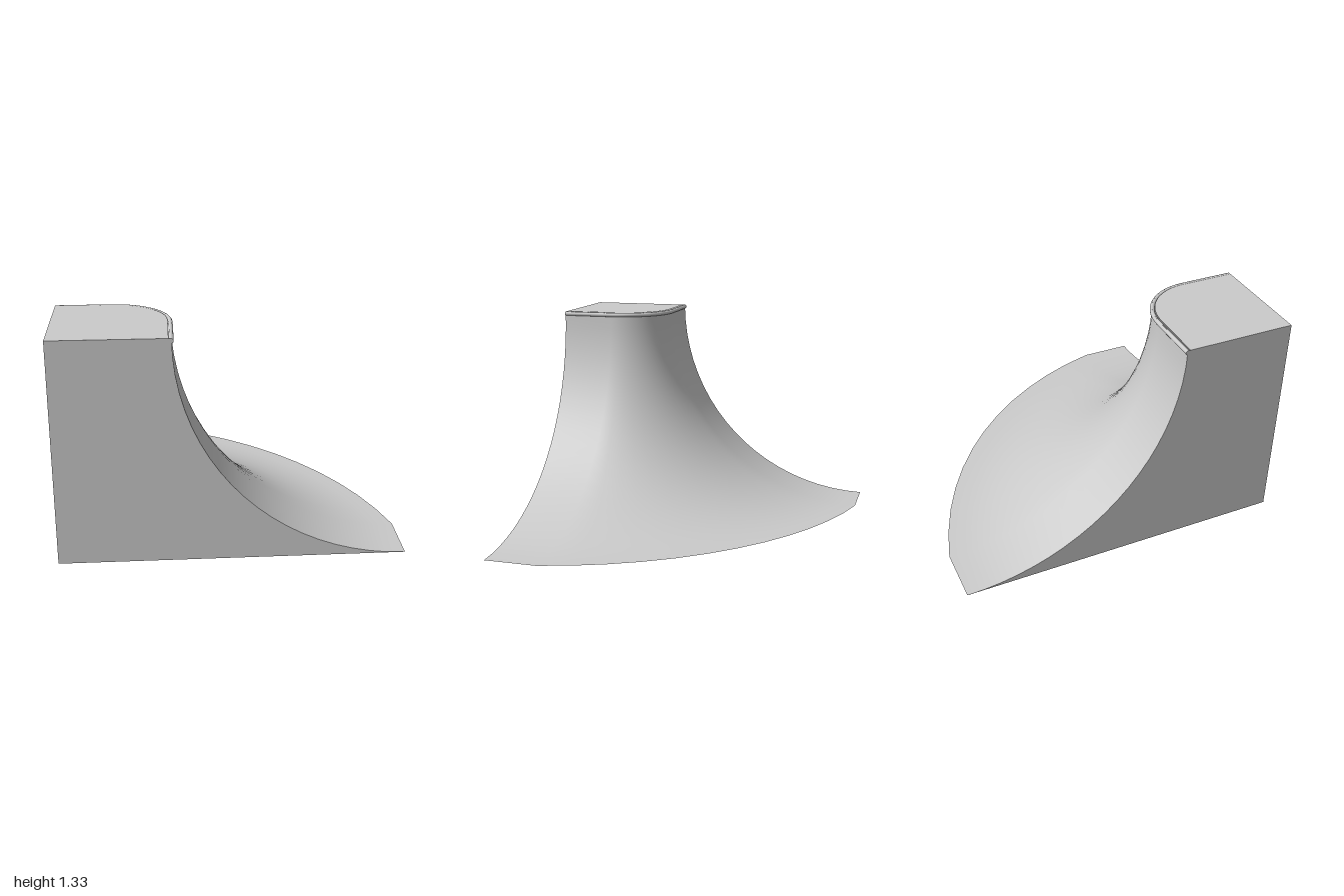
import * as THREE from 'three';

const H = 1.333;      // deck height
const EDGE = -0.333;  // where the ramp meets the deck
const FILLET = 0.333; // deck corner radius
const PIPE = 0.014;   // coping radius
const ARC_STEPS = 12, RAMP_STEPS = 20;

// Plan points [x, z] along the rounded deck edge, moved inward by inset.
function deckEdge(inset) {
  const c = EDGE - FILLET, r = FILLET - inset, pts = [[-1, -c - r]];
  for (let i = 0; i <= ARC_STEPS; i++) {
    const a = (i / ARC_STEPS) * Math.PI / 2;
    pts.push([c + r * Math.sin(a), -c - r * Math.cos(a)]);
  }
  pts.push([c + r, 1]);
  return pts;
}

// Plan points [x, z] along the shallow outer arc at ground level.
function groundEdge() {
  const start = EDGE - FILLET, half = THREE.MathUtils.degToRad(31.2);
  const r = (1 - start) * Math.SQRT1_2 / Math.sin(half);
  const c = (start + 1) / 2 - r * Math.cos(half) * Math.SQRT1_2;
  const pts = [[-1, -1]];
  for (let i = 0; i <= ARC_STEPS; i++) {
    const a = Math.PI / 4 + half * (2 * i / ARC_STEPS - 1);
    pts.push([c + r * Math.sin(a), -c - r * Math.cos(a)]);
  }
  pts.push([1, 1]);
  return pts;
}

// Concave quarter-round sections swept between the two plan edges.
function rampGeometry() {
  const inner = deckEdge(0), outer = groundEdge();
  const pos = [], index = [], row = RAMP_STEPS + 1;
  inner.forEach(([ix, iz], i) => {
    const [ox, oz] = outer[i];
    for (let j = 0; j <= RAMP_STEPS; j++) {
      const a = (j / RAMP_STEPS) * Math.PI / 2, k = 1 - Math.cos(a);
      pos.push(ix + (ox - ix) * k, H * (1 - Math.sin(a)), iz + (oz - iz) * k);
      if (i < inner.length - 1 && j < RAMP_STEPS) {
        const p = i * row + j, q = p + row;
        index.push(p, q, p + 1, q, q + 1, p + 1);
      }
    }
  });
  const g = new THREE.BufferGeometry();
  g.setAttribute('position', new THREE.Float32BufferAttribute(pos, 3));
  g.setIndex(index);
  g.computeVertexNormals();
  return g;
}

// Flat wall following the ramp section.
function wallGeometry() {
  const pts = [new THREE.Vector2(-1, 0), new THREE.Vector2(1, 0)];
  for (let j = RAMP_STEPS - 1; j >= 0; j--) {
    const a = (j / RAMP_STEPS) * Math.PI / 2;
    pts.push(new THREE.Vector2(1 - (1 - EDGE) * Math.cos(a), H * (1 - Math.sin(a))));
  }
  pts.push(new THREE.Vector2(-1, H));
  return new THREE.ShapeGeometry(new THREE.Shape(pts));
}

export function createModel() {
  const group = new THREE.Group();
  const material = new THREE.MeshStandardMaterial({ color: 0xcccccc, side: THREE.DoubleSide });
  const add = (name, geometry) => {
    const mesh = new THREE.Mesh(geometry, material);
    mesh.name = name;
    group.add(mesh);
    return mesh;
  };

  add('rampSurface', rampGeometry());

  // Two straight walls; the underside stays open
  add('frontWall', wallGeometry()).position.z = 1;
  add('sideWall', wallGeometry().rotateY(Math.PI / 2)).position.x = -1;

  // Deck with one rounded corner
  const outline = [...deckEdge(0.016), [-1, 1]].map(([x, z]) => new THREE.Vector2(x, -z));
  add('deck', new THREE.ShapeGeometry(new THREE.Shape(outline)).rotateX(-Math.PI / 2)).position.y = H;

  // Coping pipe along the deck edge, with end caps
  const y = H - PIPE;
  const path = deckEdge(0.002).map(([x, z]) => new THREE.Vector3(x, y, z));
  const curve = new THREE.CatmullRomCurve3(path, false, 'centripetal');
  add('coping', new THREE.TubeGeometry(curve, 64, PIPE, 10));
  const first = path[0], last = path[path.length - 1];
  add('copingCapSide', new THREE.CircleGeometry(PIPE, 10).rotateY(-Math.PI / 2)).position.copy(first);
  add('copingCapFront', new THREE.CircleGeometry(PIPE, 10)).position.copy(last);

  return group;
}
